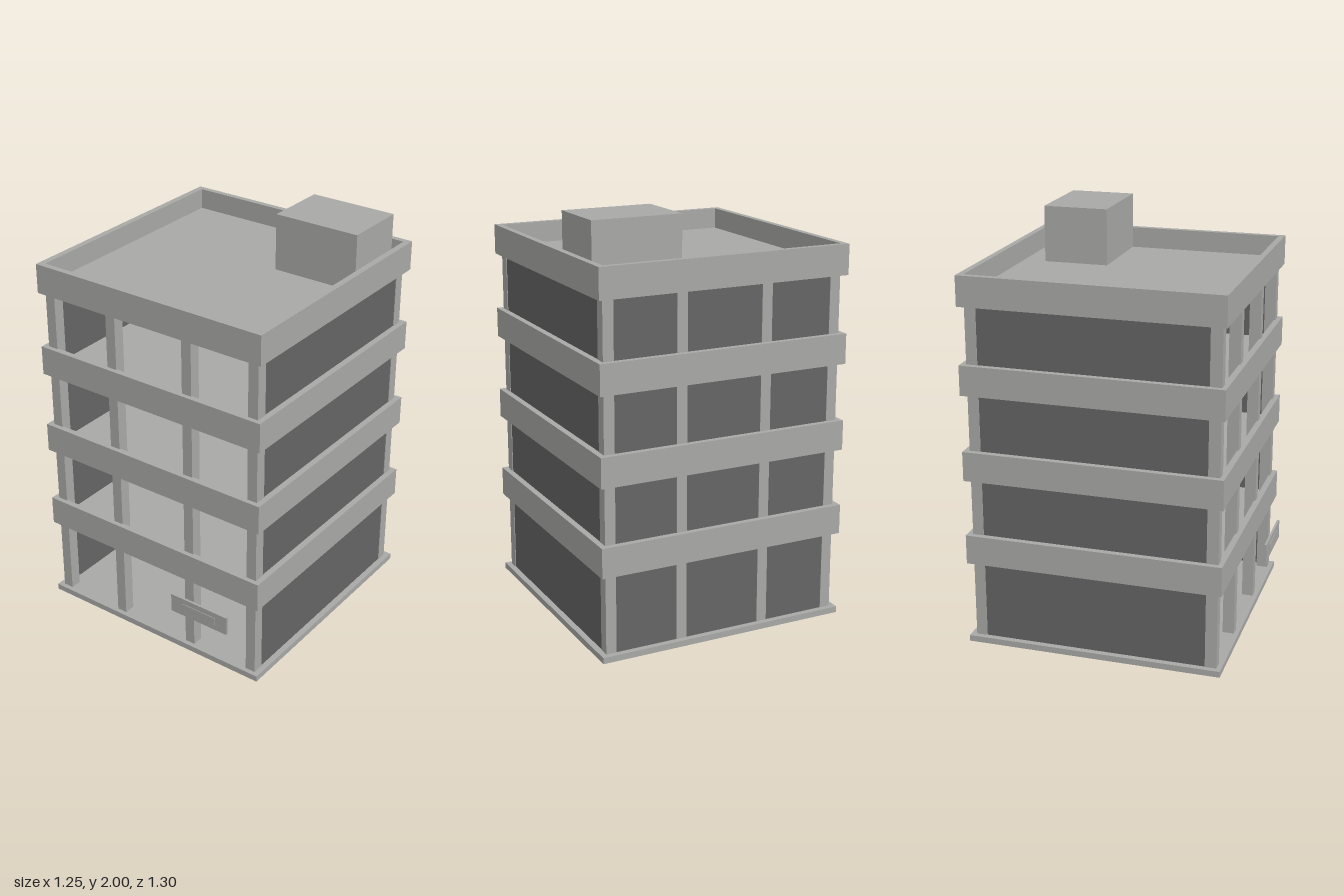
import * as THREE from 'three';

export function createModel() {
  const model = new THREE.Group();
  const concrete = new THREE.MeshStandardMaterial({ color: 0xa8a8a6 });
  concrete.name = 'concrete';
  const panel = new THREE.MeshStandardMaterial({ color: 0x666565 });
  panel.name = 'dark panel';

  // Box given by its extents along each axis
  function box(name, material, [x0, x1], [y0, y1], [z0, z1], parent = model) {
    const mesh = new THREE.Mesh(new THREE.BoxGeometry(x1 - x0, y1 - y0, z1 - z0), material);
    mesh.position.set((x0 + x1) / 2, (y0 + y1) / 2, (z0 + z1) / 2);
    mesh.name = name;
    parent.add(mesh);
  }

  // Plan outline of a band: outer rectangle with a smaller one cut out (shape y = -z)
  const corners = (x, front, back) => [[-x, -front], [x, -front], [x, -back], [-x, -back]]
    .map(([a, b]) => new THREE.Vector2(a, b));
  const ring = new THREE.Shape(corners(0.627, 0.6, -0.65));
  ring.holes.push(new THREE.Path(corners(0.596, 0.57, -0.621)));

  // Ring-shaped band with a thin deck inside; deckY is the height of the walking surface
  function bandWithDeck(name, y, height, deckY) {
    const group = new THREE.Group();
    group.name = name;
    model.add(group);
    const geometry = new THREE.ExtrudeGeometry(ring, { depth: height, bevelEnabled: false });
    geometry.rotateX(-Math.PI / 2);
    geometry.translate(0, y, 0);
    const band = new THREE.Mesh(geometry, concrete);
    band.name = 'band';
    group.add(band);
    box('deck', concrete, [-0.597, 0.597], [deckY - 0.01, deckY], [-0.622, 0.571], group);
    return group;
  }

  // Base plate, hollow underneath
  bandWithDeck('base', 0, 0.03, 0.03);

  // Each storey: walls, open front, and a parapet band around a recessed deck
  let floorY = 0.03;
  [0.415, 0.839, 1.26, 1.681].forEach((bandY, i) => {
    const deckY = bandY + 0.043;
    const storey = bandWithDeck(`storey${i + 1}`, bandY, 0.145, deckY);
    const wallY = [floorY, deckY - 0.01];
    box('rightWall', panel, [-0.597, -0.588], wallY, [-0.6, 0.524], storey);
    box('leftWall', panel, [0.588, 0.597], wallY, [-0.6, 0.524], storey);
    box('backWall', panel, [-0.588, 0.588], wallY, [-0.621, -0.612], storey);
    floorY = deckY;
  });

  // Columns in a front and a back row
  const rows = { front: [0.521, 0.577], back: [-0.623, -0.569] };
  for (const [row, z] of Object.entries(rows)) {
    [-0.574, -0.215, 0.215, 0.574].forEach((x, i) =>
      box(`${row}Column${i + 1}`, concrete, [x - 0.026, x + 0.026], [0.025, 1.716], z));
  }

  // Stair house on the roof
  box('stairHouse', concrete, [0.16, 0.596], [floorY, 2], [-0.51, -0.19]);

  // Blank sign board in front of the entrance, with a thin raised strip
  box('signBoard', concrete, [0.16, 0.485], [0.242, 0.338], [0.636, 0.648]);
  box('signStrip', concrete, [0.23, 0.417], [0.27, 0.31], [0.648, 0.651]);

  return model;
}
